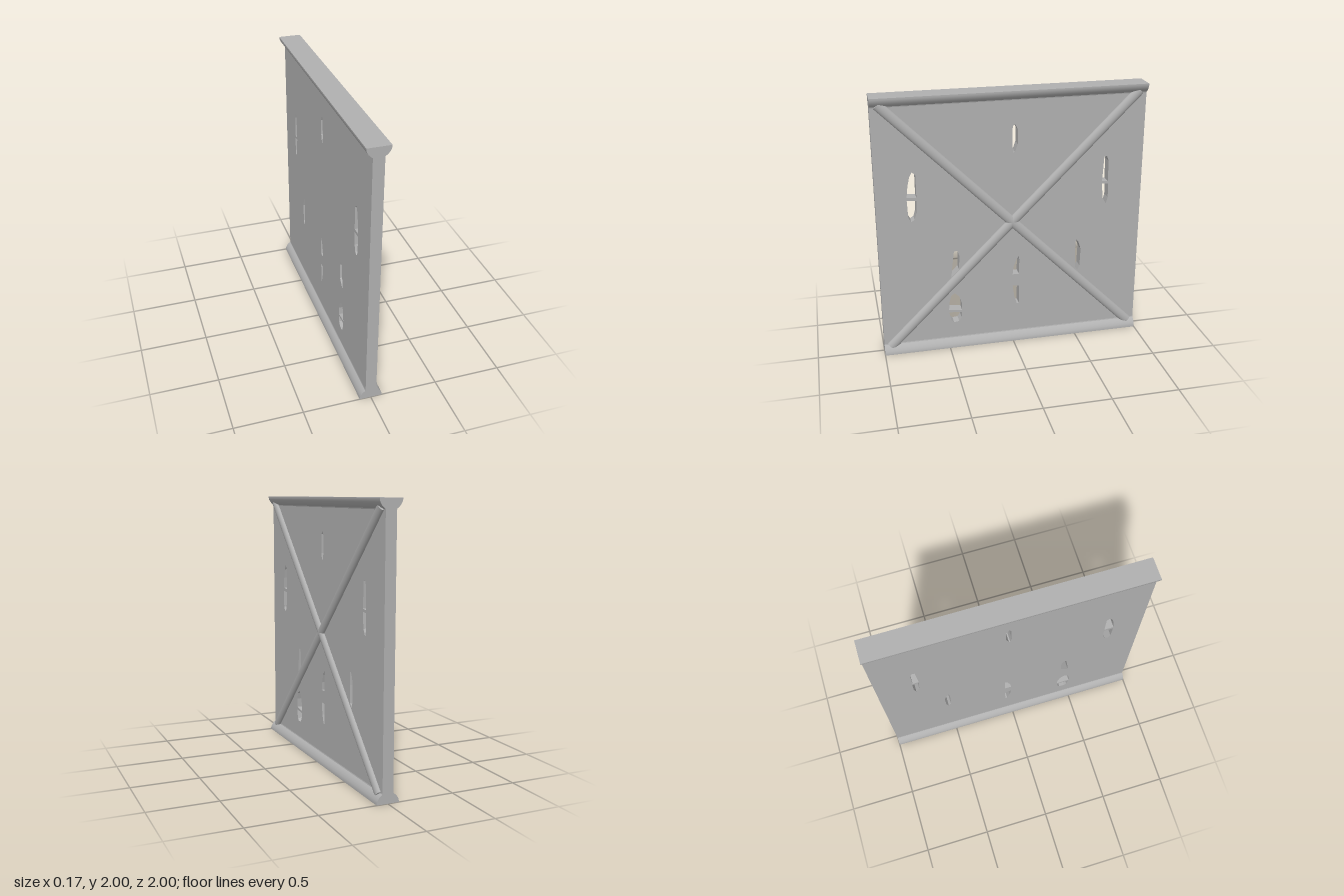
import * as THREE from 'three';
import { toCreasedNormals } from 'three/addons/utils/BufferGeometryUtils.js';

// Outlines of the slits cut through the panel: flat lists of (-z, y) in hundredths
const SLITS = [
  [2, 175, 4, 171, 4, 160, 2, 154, 1, 154, 0, 159, 0.3, 173, 1.5, 175],
  [-73, 144.5, -70.5, 142, -70.5, 125, -77.5, 125.5, -76.5, 134, -75, 141],
  [-77.5, 123, -70.5, 122.7, -71, 113, -72.5, 108, -75, 106.5, -77, 110],
  [70, 145.5, 72, 146, 73.5, 142, 73.5, 126, 69, 126.5],
  [69, 124.5, 74, 124, 74, 113, 72.7, 108, 70, 113],
  [-44.5, 80, -42, 80, -40.5, 76, -41, 64.5, -47, 58.5, -46, 68],
  [-45, 45, -41.5, 42, -39.5, 36, -39.5, 30, -49.5, 31, -49, 38, -47.5, 43],
  [-49.5, 29, -39.5, 28.3, -40, 23.5, -42, 20.5, -46, 20, -48, 22],
  [5, 71, 5.5, 68, 5.3, 56, 0.3, 56, 1, 62, 3, 68],
  [0.3, 46.5, 5.5, 46, 5.3, 30.5, 3.7, 30.5, 1.6, 37],
  [50, 80.5, 52, 78.5, 54, 72, 53.5, 58, 52, 54.5, 50, 57, 49.5, 70],
];

const toPoints = (flat) => {
  const points = [];
  for (let i = 0; i < flat.length; i += 2) points.push(new THREE.Vector2(flat[i] / 100, flat[i + 1] / 100));
  return points;
};

export function createModel() {
  const model = new THREE.Group();
  model.name = 'bracedPanel';
  const grey = new THREE.MeshStandardMaterial({ color: 0xb0b0b0 });
  grey.name = 'grey';

  const add = (geometry, name) => {
    const mesh = new THREE.Mesh(geometry, grey);
    mesh.name = name;
    model.add(mesh);
    return mesh;
  };

  // Square panel with slits
  const outline = new THREE.Shape(toPoints([-100, 7, 100, 7, 100, 193, -100, 193]));
  outline.holes = SLITS.map((slit) => new THREE.Path(toPoints(slit)));
  const panel = new THREE.ExtrudeGeometry(outline, { depth: 0.08, bevelEnabled: false });
  panel.translate(0, 0, -0.04).rotateY(Math.PI / 2);
  add(panel, 'panel');

  // Rounded rails along the bottom and top edges
  const half = [[0.083, 0], [0.083, 0.012], [0.078, 0.028], [0.068, 0.045], [0.055, 0.059], [0.042, 0.068], [0.04, 0.075]];
  const profile = [...half, ...half.map(([x, y]) => [-x, y]).reverse()];
  const railShape = new THREE.Shape(profile.map(([x, y]) => new THREE.Vector2(x, y)));
  const rail = toCreasedNormals(
    new THREE.ExtrudeGeometry(railShape, { depth: 2, bevelEnabled: false }).translate(0, 0, -1), 0.6);
  add(rail, 'bottomRail');
  const topRail = add(rail, 'topRail');
  topRail.rotation.z = Math.PI;
  topRail.position.y = 2;

  // Crossed round braces on the +x face, their ends buried in the rails
  for (const side of [-1, 1]) {
    const brace = new THREE.CylinderGeometry(0.037, 0.037, 2.68, 24);
    brace.scale(0.7, 1, 1).rotateX(side * Math.PI / 4).translate(0.04, 1, 0);
    add(brace, side < 0 ? 'fallingBrace' : 'risingBrace');
  }
  return model;
}
